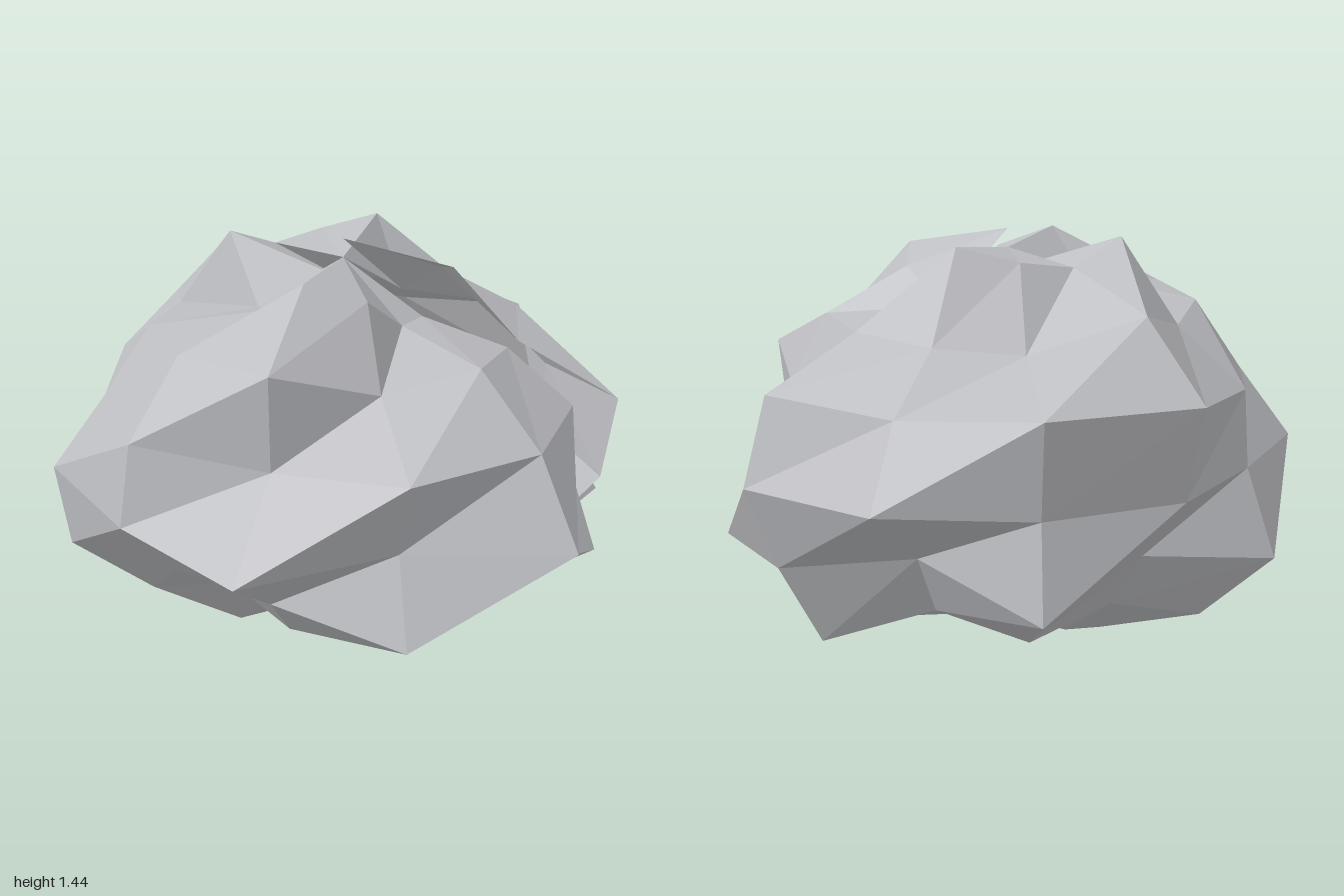
import * as THREE from 'three';

// Radius of the rock at each ring (top pole to bottom pole) and each of 12 directions,
// running from +x through the front. The last column is the open seam back at +x.
const RINGS = [
  [.90, .90, .90, .90, .90, .80, .80, .90, .90, .90, .985, .985, .985],
  [.72, .74, .93, 1.03, .82, .755, 1.05, .925, .96, 1.03, .72, .89, .98],
  [.80, .89, .775, 1.01, .965, .92, .85, 1.0, .76, .80, .84, .87, .85],
  [.86, .96, .98, .77, .955, .88, .90, 1.05, 1.055, .88, .99, .80, 1.015],
  [.81, 1.055, .80, 1.035, .935, 1.005, .85, .90, .92, .965, 1.0, .73, .905],
  [.985, .79, .99, .80, .80, 1.05, 1.03, .77, 1.05, .74, .97, 1.06, .80],
  [.735, .80, .85, .81, .72, .985, 1.0, .80, .91, .80, 1.06, .81, .72],
  [.93, .95, .82, .735, .75, 1.01, .92, .86, .78, .78, .80, .92, .72],
  [.70, .70, .70, .70, .85, .85, .85, .85, .85, .85, .85, .85, .65],
];
const SIDES = 12;
const BANDS = RINGS.length - 1;
const FLATTEN = 0.75;

// Point on the flattened, dented sphere
function rockPoint(k, j) {
  const r = RINGS[j][k];
  const polar = (j / BANDS) * Math.PI;
  const turn = (k / SIDES) * Math.PI * 2;
  return [
    r * Math.sin(polar) * Math.cos(turn),
    0.7 + FLATTEN * r * Math.cos(polar),
    -0.035 + r * Math.sin(polar) * Math.sin(turn),
  ];
}

function rockGeometry() {
  const positions = [];
  for (let j = 0; j < BANDS; j++) {
    for (let k = 0; k < SIDES; k++) {
      const a = rockPoint(k, j), b = rockPoint(k + 1, j);
      const c = rockPoint(k + 1, j + 1), d = rockPoint(k, j + 1);
      if (j > 0) positions.push(...a, ...b, ...c);
      if (j < BANDS - 1) positions.push(...a, ...c, ...d);
    }
  }
  const geometry = new THREE.BufferGeometry();
  geometry.setAttribute('position', new THREE.Float32BufferAttribute(positions, 3));
  geometry.computeVertexNormals();
  return geometry;
}

export function createModel() {
  const group = new THREE.Group();
  group.name = 'rock';

  const stone = new THREE.MeshStandardMaterial({
    color: 0xbdbec2, flatShading: true, side: THREE.DoubleSide,
  });
  stone.name = 'stone grey';

  const boulder = new THREE.Mesh(rockGeometry(), stone);
  boulder.name = 'boulder';
  group.add(boulder);
  return group;
}
